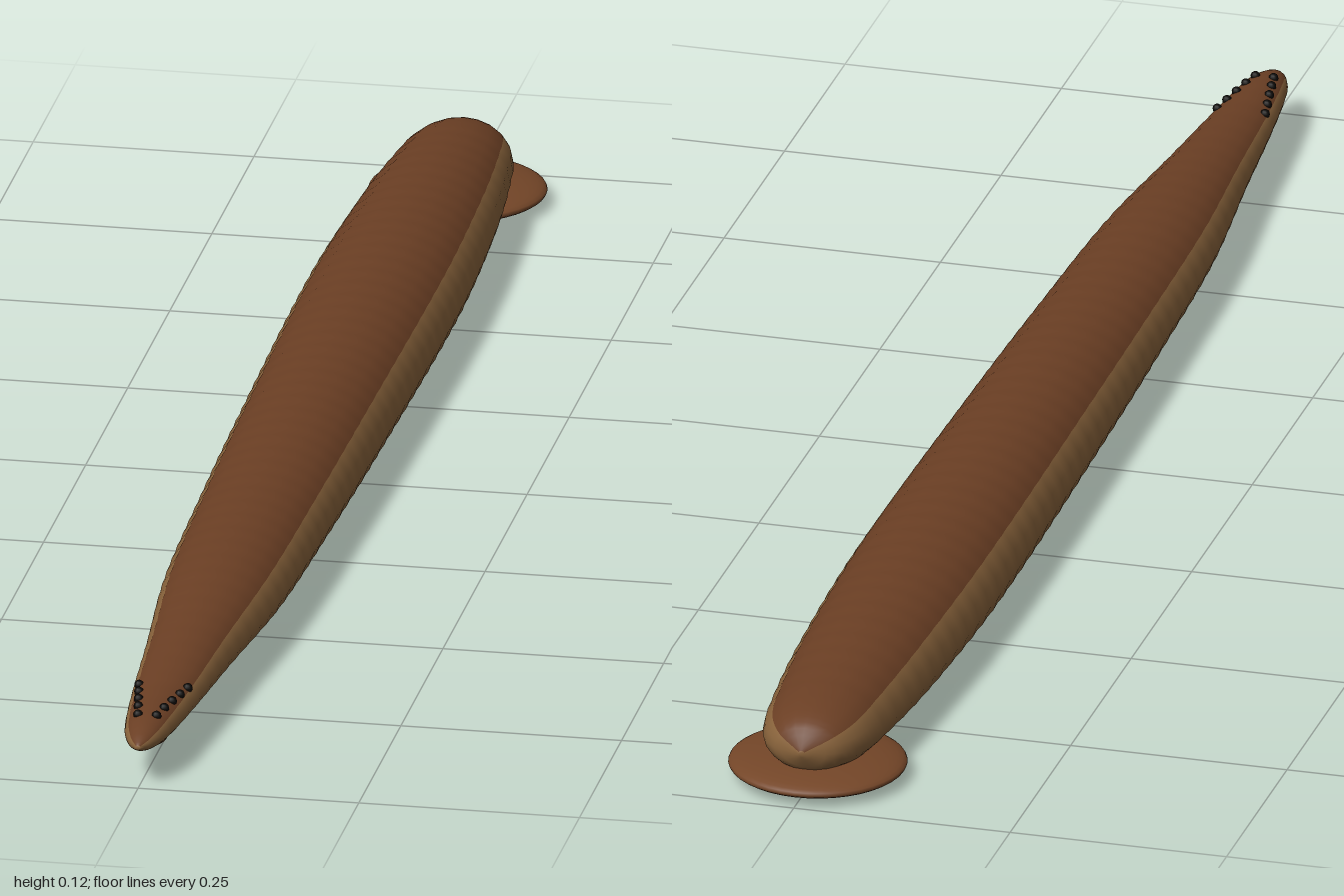
import * as THREE from 'three';

const mat = (name, color) => new THREE.MeshStandardMaterial({ name, color });

// Body stations: z, half width, top y, widest y, bottom y
const STATIONS = [
  [1.0, 0.003, 0.052, 0.049, 0.046],
  [0.985, 0.014, 0.06, 0.049, 0.04],
  [0.95, 0.025, 0.069, 0.05, 0.035],
  [0.85, 0.037, 0.075, 0.05, 0.03],
  [0.7, 0.05, 0.086, 0.049, 0.023],
  [0.5, 0.069, 0.1, 0.047, 0.015],
  [0.25, 0.078, 0.108, 0.046, 0.01],
  [0, 0.084, 0.114, 0.045, 0.007],
  [-0.45, 0.09, 0.117, 0.045, 0.003],
  [-0.7, 0.082, 0.111, 0.046, 0.007],
  [-0.85, 0.07, 0.102, 0.048, 0.013],
  [-0.92, 0.058, 0.093, 0.05, 0.018],
  [-0.955, 0.035, 0.079, 0.052, 0.028],
  [-0.968, 0.004, 0.057, 0.053, 0.049],
];

// Smoothly interpolated section at z
function section(z) {
  let i = 0;
  while (i < STATIONS.length - 2 && z < STATIONS[i + 1][0]) i++;
  const a = STATIONS[i], b = STATIONS[i + 1];
  const p = STATIONS[i - 1] ?? a, n = STATIONS[i + 2] ?? b;
  const span = b[0] - a[0];
  const t = THREE.MathUtils.clamp((z - a[0]) / span, 0, 1);
  return [1, 2, 3, 4].map((k) => {
    const ma = ((b[k] - p[k]) / (b[0] - p[0])) * span;
    const mb = ((n[k] - a[k]) / (n[0] - a[0])) * span;
    const t2 = t * t, t3 = t2 * t;
    return (2 * t3 - 3 * t2 + 1) * a[k] + (t3 - 2 * t2 + t) * ma + (3 * t2 - 2 * t3) * b[k] + (t3 - t2) * mb;
  });
}

// Point on the skin; angle 0 is the left flank, PI/2 the back
function skin(z, angle, scale = 1) {
  const [w, top, mid, bottom] = section(z);
  const s = Math.sin(angle);
  const h = s > 0 ? top - mid : mid - bottom;
  return new THREE.Vector3(w * scale * Math.cos(angle), mid + h * scale * s, z);
}

function bodyGeometry() {
  const sides = 20, pos = [], back = [], belly = [];
  // Rings are closer together at both rounded ends
  const zs = [1, 0.996, 0.991, 0.985, 0.975, 0.965];
  for (let i = 0; i <= 184; i++) zs.push(0.95 - i * 0.01);
  zs.push(-0.9, -0.91, -0.92, -0.93, -0.94, -0.948, -0.955, -0.96, -0.965, -0.968);
  zs.forEach((z) => {
    // Fine ring furrows along the trunk
    const ripple = z < 0.95 && z > -0.9 ? 1 - 0.006 * (1 - Math.cos((z * Math.PI * 2) / 0.04)) : 1;
    for (let j = 0; j < sides; j++) pos.push(...skin(z, (j / sides) * Math.PI * 2, ripple).toArray());
  });
  for (let i = 0; i < zs.length - 1; i++) {
    for (let j = 0; j < sides; j++) {
      const a = i * sides + j, b = i * sides + ((j + 1) % sides);
      const list = j >= 2 && j < 8 ? back : belly;
      list.push(a, a + sides, b, b, a + sides, b + sides);
    }
  }
  // Close the two tips
  const last = (zs.length - 1) * sides;
  for (let j = 1; j < sides - 1; j++) {
    belly.push(0, j, j + 1);
    belly.push(last, last + j + 1, last + j);
  }
  const g = new THREE.BufferGeometry();
  g.setAttribute('position', new THREE.Float32BufferAttribute(pos, 3));
  g.setIndex([...back, ...belly]);
  g.addGroup(0, back.length, 0);
  g.addGroup(back.length, belly.length, 1);
  g.computeVertexNormals();
  return g;
}

export function createModel() {
  const model = new THREE.Group();
  const backBrown = mat('back brown', 0x6b3f24);
  const bellyTan = mat('belly tan', 0x8a643c);
  const suckerBrown = mat('sucker brown', 0x744628);
  const black = mat('eye black', 0x0c0a08);
  const add = (name, geometry, material) => {
    const mesh = new THREE.Mesh(geometry, material);
    mesh.name = name;
    model.add(mesh);
    return mesh;
  };

  add('body', bodyGeometry(), [backBrown, bellyTan]);

  // Rear sucker: a flattened round pad under the tail
  const rear = add('rearSucker', new THREE.SphereGeometry(1, 40, 20), suckerBrown);
  rear.scale.set(0.1, 0.016, 0.1);
  rear.position.set(0, 0.017, -0.9);

  // Small mouth sucker below the head
  const mouth = add('mouthSucker', new THREE.SphereGeometry(1, 24, 12), suckerBrown);
  mouth.scale.set(0.019, 0.006, 0.032);
  mouth.position.set(0, 0.036, 0.925);

  // Five pairs of eye spots along the head
  const eye = new THREE.SphereGeometry(0.0055, 10, 8);
  for (const side of [1, -1]) {
    for (let i = 0; i < 5; i++) {
      const p = skin(0.945 - i * 0.024, THREE.MathUtils.degToRad(66 - i * 6));
      add('eye', eye, black).position.set(side * p.x, p.y, p.z);
    }
  }
  return model;
}
